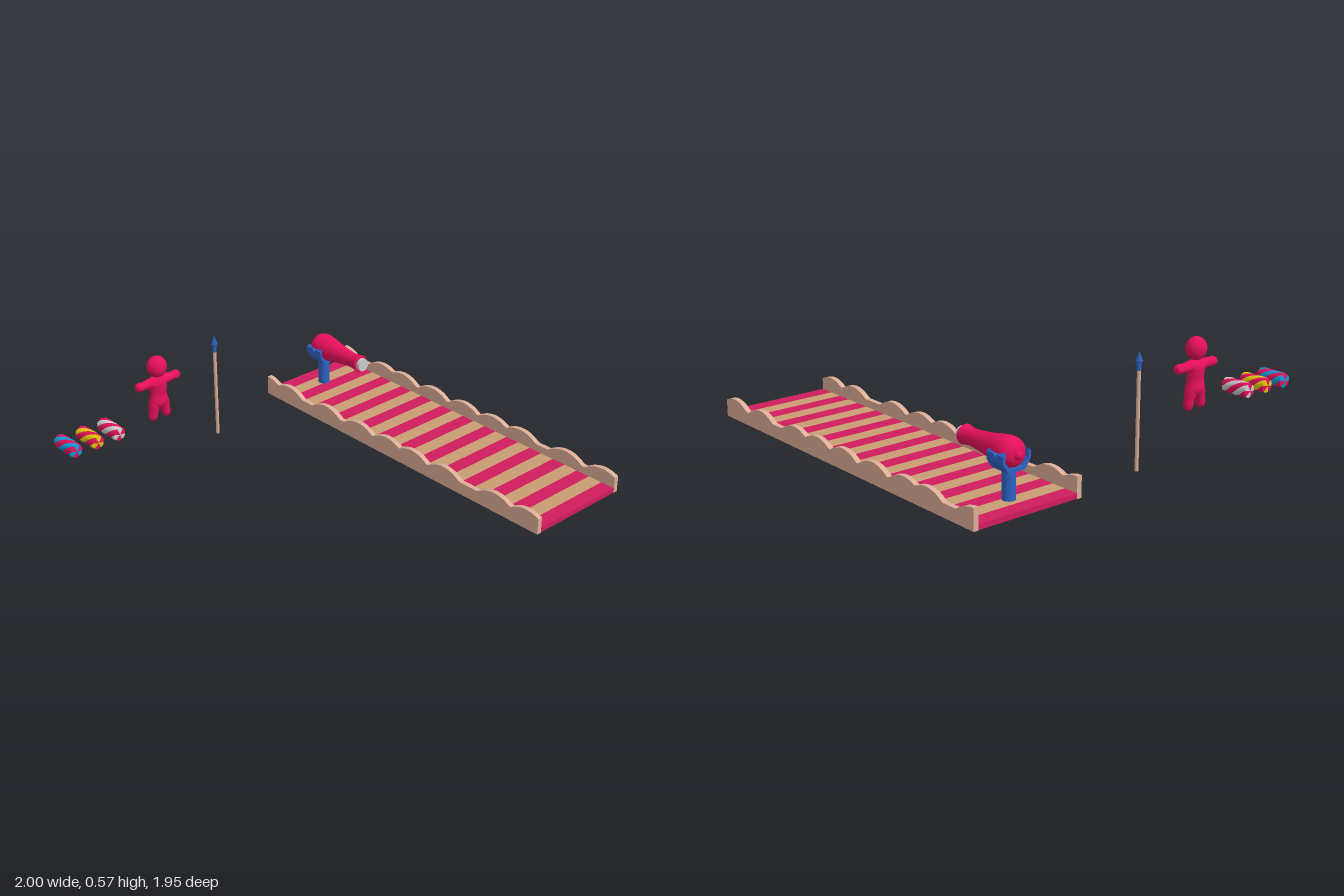
import * as THREE from 'three';

const mat = (color, side = THREE.FrontSide) => new THREE.MeshStandardMaterial({ color, side });
const PINK = mat(0xe5105a), DARKPINK = mat(0xd01c5c), TAN = mat(0xc99c72), WOOD = mat(0xdcae96),
  BLUE = mat(0x2f62c4), SKY = mat(0x109ad8), YELLOW = mat(0xe0c80a), GREY = mat(0xcccccc);

function add(parent, name, geo, material, x = 0, y = 0, z = 0) {
  const m = new THREE.Mesh(geo, material);
  m.name = name;
  m.position.set(x, y, z);
  parent.add(m);
  return m;
}

// Smooth lathe through [radius, height] points
function lathe(pts, seg = 28, smooth = true) {
  let p = pts.map(([r, y]) => new THREE.Vector2(r, y));
  if (smooth) {
    p = new THREE.SplineCurve(p).getPoints(30);
    p.forEach(v => { v.x = Math.max(v.x, 0); });
  }
  return new THREE.LatheGeometry(p, seg);
}

// Candy of six twisted, gently rounded wedges lying along z
function candy(material) {
  const g = new THREE.Group();
  g.name = 'twistedCandy';
  for (let i = 0; i < 6; i++) {
    const geo = new THREE.CylinderGeometry(0.037, 0.037, 0.145, 8, 16, false, i * Math.PI / 3, Math.PI / 3);
    const p = geo.attributes.position;
    for (let k = 0; k < p.count; k++) {
      const x = p.getX(k), y = p.getY(k), z = p.getZ(k), r = Math.hypot(x, z);
      const t = Math.atan2(x, z), end = Math.abs(y) / 0.0725;
      const lobe = 0.93 + 0.09 * Math.abs(Math.sin(t * 3));
      const rr = r * lobe * (1 - 0.08 * end ** 6), a = t - 3.5 * y / 0.145;
      const dome = r < 0.001 ? Math.sign(y) * 0.006 : 0;
      p.setXYZ(k, rr * Math.sin(a), y + dome, rr * Math.cos(a));
    }
    geo.computeVertexNormals();
    geo.rotateX(Math.PI / 2);
    add(g, 'candyStrand', geo, i % 2 ? PINK : material);
  }
  return g;
}

// Doll with a rounded body, outstretched arms and splayed legs
function doll() {
  const g = new THREE.Group();
  g.name = 'doll';
  const torso = add(g, 'torso', lathe([[0, 0.285], [0.035, 0.292], [0.053, 0.32], [0.046, 0.36],
    [0.05, 0.405], [0.052, 0.43], [0.038, 0.452], [0.018, 0.462], [0.016, 0.475]]), PINK);
  torso.scale.z = 0.72;
  add(g, 'head', new THREE.SphereGeometry(0.052, 28, 20), PINK, 0, 0.511, 0).scale.set(1, 1.08, 0.95);
  for (const s of [-1, 1]) {
    const arm = add(g, 'arm', lathe([[0, 0], [0.03, 0.002], [0.026, 0.05], [0.022, 0.09], [0.024, 0.112],
      [0.016, 0.129], [0, 0.133]], 20), PINK, 0, 0.43, 0);
    arm.rotation.z = -s * Math.PI / 2;
    const leg = add(g, 'leg', lathe([[0, -0.112], [0.014, -0.108], [0.023, -0.09], [0.025, -0.06],
      [0.029, -0.02], [0.022, 0.01], [0, 0.02]], 20), PINK, s * 0.024, 0.33, 0);
    leg.rotation.z = s * 0.19;
  }
  return g;
}

// Thin spear with a collar and pointed head
function spear() {
  const g = new THREE.Group();
  g.name = 'spear';
  add(g, 'shaft', new THREE.CylinderGeometry(0.009, 0.009, 0.48, 16), WOOD, 0, 0.24, 0);
  add(g, 'collar', new THREE.CylinderGeometry(0.011, 0.011, 0.04, 16), BLUE, 0, 0.495, 0);
  add(g, 'spearHead', lathe([[0, 0.51], [0.016, 0.512], [0.016, 0.52], [0, 0.565]], 16, false), BLUE);
  return g;
}

// Side rail with a scalloped top edge
function rail(peaks) {
  const s = new THREE.Shape();
  const height = z => {
    let h = 0.09;
    for (const c of peaks) h = Math.max(h, 0.128 - 3.2 * (z - c) ** 2);
    return h;
  };
  s.moveTo(-0.976, 0.025);
  s.lineTo(0.976, 0.025);
  for (let i = 0; i <= 160; i++) {
    const z = 0.976 - 1.952 * i / 160;
    s.lineTo(z, height(z));
  }
  const geo = new THREE.ExtrudeGeometry(s, { depth: 0.026, bevelEnabled: false });
  geo.translate(0, 0, -0.013);
  geo.rotateY(-Math.PI / 2);
  return geo;
}

// Striped deck between two rails
function deck() {
  const g = new THREE.Group();
  g.name = 'stripedDeck';
  const n = 25, w = 1.952 / n;
  for (let i = 0; i < n; i++)
    add(g, 'deckStripe', new THREE.BoxGeometry(0.54, 0.025, w), i % 2 ? TAN : DARKPINK,
      0.705, 0.039, -0.976 + w * (i + 0.5));
  add(g, 'leftRail', rail([0.9, 0.66, 0.36, 0.17, -0.04, -0.27, -0.5, -0.66, -0.97]), WOOD, 0.987, 0, 0);
  add(g, 'rightRail', rail([0.9, 0.7, 0.36, 0.14, -0.04, -0.25, -0.5, -0.8, -0.97]), WOOD, 0.423, 0, 0);
  return g;
}

// Cannon on a post with a curved yoke
function cannon() {
  const g = new THREE.Group();
  g.name = 'cannon';
  g.position.set(0.702, 0, -0.84);
  add(g, 'post', new THREE.CylinderGeometry(0.031, 0.031, 0.15, 28), BLUE, 0, 0.125, 0);

  const yoke = new THREE.Shape();
  const outer = [[-0.06, 0.282], [-0.076, 0.27], [-0.076, 0.235], [-0.045, 0.19]];
  const inner = [[0.035, 0.208], [0.062, 0.24], [0.062, 0.282]];
  const left = outer.map(([x, y]) => [-x, y]).reverse();
  const right = inner.map(([x, y]) => [-x, y]).reverse();
  [...outer, ...left, ...inner.slice().reverse(), ...right.slice().reverse()]
    .forEach(([x, y], i) => (i ? yoke.lineTo(x, y) : yoke.moveTo(x, y)));
  const yokeGeo = new THREE.ExtrudeGeometry(yoke, { depth: 0.108, bevelEnabled: false });
  add(g, 'yoke', yokeGeo, BLUE, 0, 0, -0.054);

  // Barrel from the round breech to the flared muzzle
  const barrel = lathe([[0, -0.068], [0.04, -0.058], [0.064, -0.032], [0.071, 0], [0.064, 0.055],
    [0.053, 0.11], [0.045, 0.17], [0.039, 0.23], [0.041, 0.265], [0.047, 0.29]], 32);
  barrel.rotateX(Math.PI / 2);
  add(g, 'barrel', barrel, PINK, 0, 0.264, 0);
  const lip = new THREE.CylinderGeometry(0.044, 0.047, 0.006, 32).rotateX(Math.PI / 2);
  add(g, 'muzzleLip', lip, PINK, 0, 0.264, 0.293);
  const plug = new THREE.CylinderGeometry(0.034, 0.034, 0.04, 32).rotateX(Math.PI / 2);
  add(g, 'muzzlePlug', plug, GREY, 0, 0.264, 0.297);
  add(g, 'breechKnob', new THREE.SphereGeometry(0.022, 20, 14), PINK, 0, 0.264, -0.06);
  for (const s of [-1, 1]) {
    const pin = new THREE.CylinderGeometry(0.011, 0.011, 0.02, 16).rotateZ(Math.PI / 2);
    add(g, 'pivotPin', pin, BLUE, s * 0.076, 0.264, 0);
  }
  return g;
}

export function createModel() {
  const model = new THREE.Group();
  model.name = 'playSet';
  [SKY, YELLOW, GREY].forEach((m, i) => {
    const c = candy(m);
    c.position.set(-0.963 + i * 0.126, 0.264, -0.845);
    model.add(c);
  });
  const d = doll();
  d.position.set(-0.414, 0, -0.845);
  const s = spear();
  s.position.set(-0.05, 0, -0.843);
  model.add(d, s, deck(), cannon());
  return model;
}
